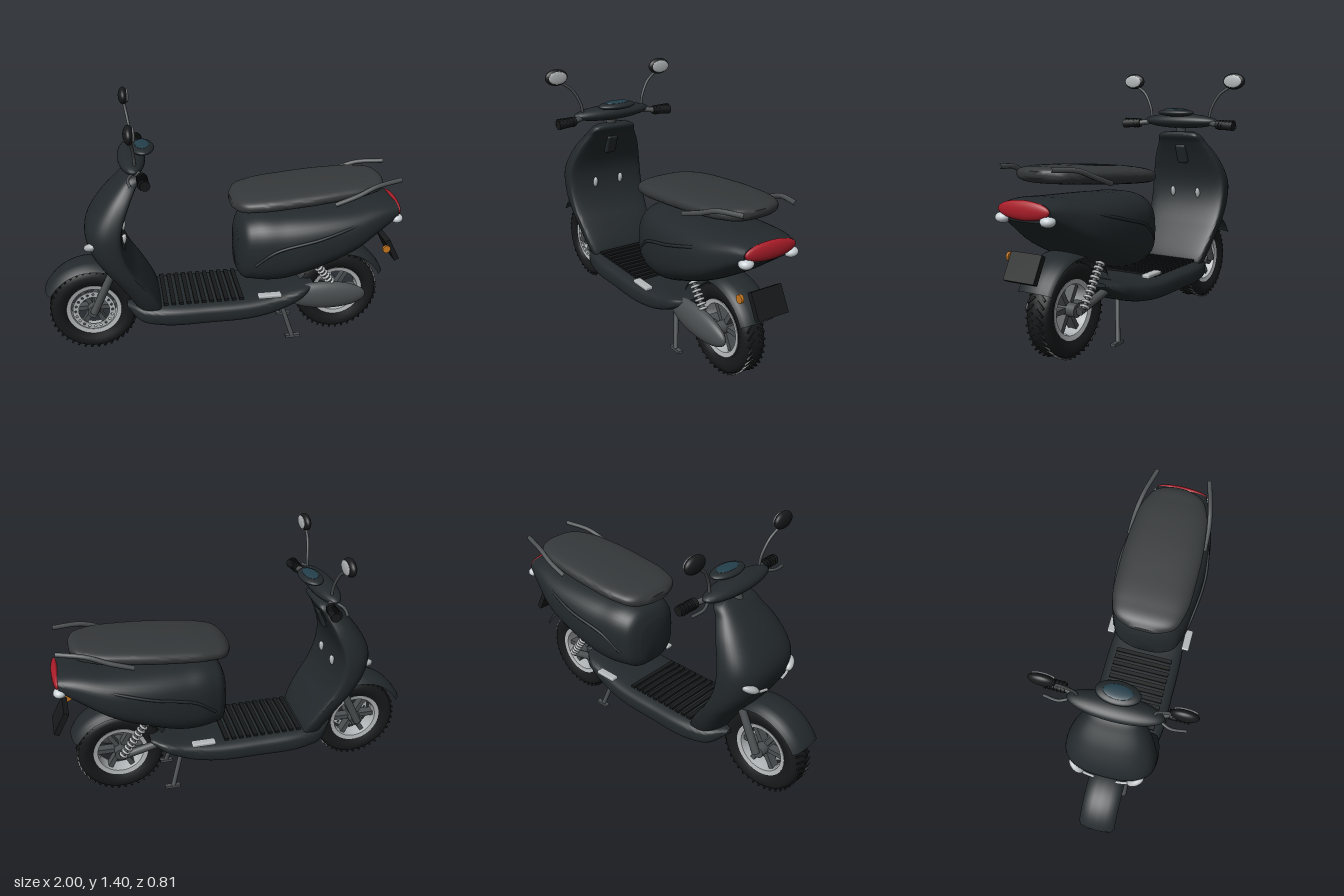
import * as THREE from 'three';
import { toCreasedNormals } from 'three/addons/utils/BufferGeometryUtils.js';
import { RoundedBoxGeometry } from 'three/addons/geometries/RoundedBoxGeometry.js';

const BODY = 0x23292c, BLACK = 0x17191a, SEAT = 0x35383a, STEEL = 0x4c5052, SILVER = 0xb4b8ba;
const SIDES = [['left', 1], ['right', -1]];
const V = (x, y, z) => new THREE.Vector3(x, y, z);
const power = (v, p) => Math.sign(v) * Math.abs(v) ** p;

export function createModel() {
  const model = new THREE.Group();
  model.name = 'scooter';
  const materials = {};
  const material = c => (materials[c] ??= new THREE.MeshStandardMaterial({ color: c }));

  function add(name, geometry, color, pos = [0, 0, 0], parent = model) {
    const mesh = new THREE.Mesh(geometry, material(color));
    mesh.name = name;
    mesh.position.set(...pos);
    parent.add(mesh);
    return mesh;
  }
  const ball = (name, r, pos, color) =>
    add(name, new THREE.SphereGeometry(1, 32, 20).scale(...r), color, pos);
  function rod(name, a, b, r, color, parent = model) {
    const d = b.clone().sub(a);
    const mesh = add(name, new THREE.CylinderGeometry(r, r, d.length(), 14), color, a.clone().lerp(b, 0.5).toArray(), parent);
    mesh.quaternion.setFromUnitVectors(V(0, 1, 0), d.normalize());
    return mesh;
  }
  const tube = (name, pts, r, color) =>
    add(name, new THREE.TubeGeometry(new THREE.CatmullRomCurve3(pts), 40, r, 10), color);

  // Closed skin through smoothly interpolated cross-sections, capped at both ends
  function loft(rows, section, steps = 48, around = 48) {
    const spline = new THREE.CubicInterpolant(rows.map(r => r[0]), rows.flat(), rows[0].length);
    const pos = [], idx = [], ends = [[], []];
    const t0 = rows[0][0], t1 = rows[rows.length - 1][0];
    for (let i = 0; i <= steps; i++) {
      const t = t0 + (t1 - t0) * (1 - Math.cos(Math.PI * i / steps)) / 2;
      const key = [...spline.evaluate(t)];
      for (let j = 0; j < around; j++) {
        pos.push(...section(key, j / around * Math.PI * 2));
        const a = i * around + j, b = i * around + (j + 1) % around;
        if (i < steps) idx.push(a, b, a + around, b, b + around, a + around);
      }
    }
    for (const [end, ring] of [[0, 0], [1, steps * around]]) {
      for (let k = 0; k < 3; k++) {
        let sum = 0;
        for (let j = 0; j < around; j++) sum += pos[(ring + j) * 3 + k];
        ends[end].push(sum / around);
      }
      const c = pos.length / 3;
      pos.push(...ends[end]);
      for (let j = 0; j < around; j++) {
        const a = ring + j, b = ring + (j + 1) % around;
        idx.push(...(end ? [c, a, b] : [c, b, a]));
      }
    }
    // Turn the skin outward if its volume comes out negative
    let volume = 0;
    const p = i => V().fromArray(pos, i * 3);
    for (let i = 0; i < idx.length; i += 3) volume += p(idx[i]).dot(p(idx[i + 1]).cross(p(idx[i + 2])));
    if (volume < 0) idx.reverse();
    const g = new THREE.BufferGeometry();
    g.setAttribute('position', new THREE.Float32BufferAttribute(pos, 3));
    g.setIndex(idx);
    return toCreasedNormals(g, 0.8);
  }
  // Rows: x, bottom, top, half width
  const alongX = p => ([x, y0, y1, w], a) =>
    [x, (y0 + y1) / 2 + (y1 - y0) / 2 * power(Math.sin(a), p), w * power(Math.cos(a), p)];

  // Front leg shield; rows: y, front x, rear x, half width
  add('legShield', loft([
    [0.25, -0.5, -0.36, 0.17], [0.32, -0.54, -0.375, 0.2], [0.46, -0.63, -0.455, 0.23],
    [0.54, -0.69, -0.51, 0.24], [0.65, -0.75, -0.555, 0.245], [0.77, -0.76, -0.565, 0.24],
    [0.91, -0.675, -0.52, 0.2], [1.0, -0.59, -0.475, 0.15], [1.05, -0.535, -0.447, 0.12], [1.062, -0.51, -0.46, 0.09],
  ], ([y, xf, xr, w], a) => {
    const s = Math.sin(a), rim = xr - 0.04;
    const x = s > 0 ? rim - (rim - xf) * power(s, 0.75) : rim + 0.04 * power(-s, 0.3);
    return [x, y, w * power(Math.cos(a), 0.8)];
  }), BODY);

  // Foot floor with ribs
  add('floorboard', loft([
    [-0.56, 0.27, 0.3, 0.1], [-0.5, 0.21, 0.31, 0.17], [-0.4, 0.186, 0.315, 0.21], [-0.1, 0.18, 0.312, 0.222],
    [0.14, 0.187, 0.315, 0.218], [0.3, 0.22, 0.33, 0.2], [0.42, 0.28, 0.35, 0.18], [0.49, 0.33, 0.355, 0.13],
  ], alongX(0.55)), BODY);
  for (let i = 0; i < 11; i++)
    add('floorRib', new THREE.BoxGeometry(0.024, 0.014, 0.34), BLACK, [-0.35 + i * 0.042, 0.316, 0]);

  // Rear body and seat
  add('rearBody', loft([
    [0.06, 0.44, 0.69, 0.11], [0.08, 0.41, 0.735, 0.16], [0.14, 0.395, 0.773, 0.2], [0.3, 0.395, 0.79, 0.235],
    [0.5, 0.46, 0.802, 0.25], [0.7, 0.55, 0.812, 0.235], [0.86, 0.66, 0.822, 0.185], [0.945, 0.72, 0.815, 0.15],
  ], alongX(0.7)), BODY);
  add('seat', loft([
    [0.03, 0.825, 0.865, 0.08], [0.06, 0.816, 0.89, 0.15], [0.15, 0.82, 0.912, 0.2], [0.35, 0.835, 0.935, 0.218],
    [0.6, 0.86, 0.955, 0.208], [0.78, 0.88, 0.962, 0.17], [0.85, 0.895, 0.958, 0.11], [0.87, 0.915, 0.945, 0.05],
  ], alongX(0.75)), SEAT);

  // Wheels, facing along z
  const half = [[0.148, 0.045], [0.18, 0.061], [0.212, 0.066], [0.232, 0.05], [0.24, 0.02]];
  const tyreProfile = [...half.map(([r, z]) => new THREE.Vector2(r, -z)),
    ...half.reverse().map(([r, z]) => new THREE.Vector2(r, z)), new THREE.Vector2(0.148, -0.045)];
  const rimProfile = [[0.128, -0.045], [0.152, -0.05], [0.152, 0.05], [0.128, 0.045], [0.122, 0], [0.128, -0.045]]
    .map(q => new THREE.Vector2(...q));
  const lathe = (profile, ...rest) => new THREE.LatheGeometry(profile, 56, ...rest).rotateX(Math.PI / 2);
  function wheel(name, x) {
    const g = new THREE.Group();
    g.name = name;
    g.position.set(x, 0.247, 0);
    model.add(g);
    add('tyre', lathe(tyreProfile), BLACK, [0, 0, 0], g);
    add('rim', toCreasedNormals(lathe(rimProfile), 0.6), SILVER, [0, 0, 0], g);
    add('hub', new THREE.CylinderGeometry(0.035, 0.035, 0.15, 24).rotateX(Math.PI / 2), STEEL, [0, 0, 0], g);
    for (let i = 0; i < 6; i++) {
      const a = i * Math.PI / 3;
      const spoke = add('spoke', new THREE.BoxGeometry(0.11, 0.026, 0.05), STEEL, [0.08 * Math.cos(a), 0.08 * Math.sin(a), 0], g);
      spoke.rotation.z = a;
    }
    for (let i = 0; i < 80; i++) {
      const a = i * Math.PI / 40, s = i % 2 ? 1 : -1;
      const block = new THREE.BoxGeometry(0.01, 0.009, 0.05).rotateY(s * 0.5);
      add('treadBlock', block, BLACK, [-0.238 * Math.sin(a), 0.238 * Math.cos(a), s * 0.03], g).rotation.set(s * 0.2, 0, a);
    }
    return g;
  }
  const front = wheel('frontWheel', -0.745);
  wheel('rearWheel', 0.65);

  // Perforated brake disc
  const disc = new THREE.Shape().absarc(0, 0, 0.118, 0, Math.PI * 2);
  disc.holes.push(new THREE.Path().absarc(0, 0, 0.085, 0, Math.PI * 2, true));
  for (let i = 0; i < 20; i++) {
    const a = i * Math.PI / 10;
    disc.holes.push(new THREE.Path().absarc(0.102 * Math.cos(a), 0.102 * Math.sin(a), 0.007, 0, Math.PI * 2, true));
  }
  add('brakeDisc', new THREE.ExtrudeGeometry(disc, { depth: 0.006, bevelEnabled: false, curveSegments: 24 }), SILVER, [0, 0, 0.052], front);

  // Curved fenders
  const fenderProfile = [[0.258, -0.1], [0.28, -0.085], [0.29, -0.045], [0.293, 0], [0.29, 0.045], [0.28, 0.085], [0.258, 0.1]]
    .map(q => new THREE.Vector2(...q));
  for (const [name, x, from, to] of [['frontFender', -0.745, 35, 152], ['rearFender', 0.65, 27, 152]]) {
    const start = THREE.MathUtils.degToRad(from + 90), arc = THREE.MathUtils.degToRad(to - from);
    const m = add(name, lathe(fenderProfile, start, arc), BODY, [x, 0.25, 0]);
    m.material = new THREE.MeshStandardMaterial({ color: BODY, side: THREE.DoubleSide });
  }

  // Steering column, handlebar cover and dashboard
  rod('steeringColumn', V(-0.55, 0.9, 0), V(-0.485, 1.12, 0), 0.028, STEEL);
  ball('handlebarCover', [0.072, 0.043, 0.245], [-0.495, 1.125, 0], BODY);
  ball('dashboard', [0.062, 0.023, 0.115], [-0.435, 1.175, 0], BODY);
  ball('display', [0.038, 0.008, 0.075], [-0.435, 1.193, 0], 0x24404c);

  // Parts in left and right pairs
  for (const [side, s] of SIDES) {
    const P = (x, y, z) => V(x, y, z * s);
    rod(side + 'ForkLeg', P(-0.6, 0.56, 0.085), P(-0.745, 0.247, 0.085), 0.022, STEEL);
    rod(side + 'GripStem', P(-0.49, 1.12, 0.18), P(-0.455, 1.108, 0.27), 0.016, STEEL);
    rod(side + 'Grip', P(-0.457, 1.11, 0.26), P(-0.445, 1.103, 0.37), 0.026, BLACK);
    for (let i = 0; i < 5; i++)
      rod(side + 'GripRing', P(-0.455, 1.109, 0.275 + i * 0.02), P(-0.454, 1.108, 0.283 + i * 0.02), 0.029, BLACK);
    tube(side + 'BrakeLever', [P(-0.5, 1.115, 0.22), P(-0.525, 1.105, 0.28), P(-0.515, 1.095, 0.36)], 0.008, STEEL);
    tube(side + 'MirrorStem', [P(-0.485, 1.15, 0.195), P(-0.488, 1.2, 0.205), P(-0.5, 1.28, 0.25), P(-0.51, 1.325, 0.31)], 0.008, STEEL);
    ball(side + 'MirrorShell', [0.027, 0.046, 0.068], [-0.512, 1.357, 0.337 * s], BLACK);
    ball(side + 'MirrorGlass', [0.008, 0.036, 0.056], [-0.489, 1.357, 0.337 * s], SILVER);
    ball(side + 'FrontSignal', [0.03, 0.022, 0.05], [-0.735, 0.69, 0.16 * s], SILVER).rotation.set(-0.5 * s, 0.5 * s, 0);
    tube(side + 'FrontTrim', [P(-0.763, 0.65, 0.06), P(-0.755, 0.665, 0.12), P(-0.72, 0.7, 0.18), P(-0.67, 0.75, 0.215)], 0.008, SILVER);
    ball(side + 'BagHook', [0.015, 0.032, 0.014], [-0.558, 0.69, 0.085 * s], SILVER).rotation.z = -0.2;
    add(side + 'FootPeg', new RoundedBoxGeometry(0.13, 0.022, 0.045, 3, 0.008), SILVER, [0.215, 0.36, 0.23 * s]);
    tube(side + 'BodyTrim', [P(0.14, 0.53, 0.197), P(0.25, 0.62, 0.23), P(0.49, 0.69, 0.253), P(0.7, 0.745, 0.215), P(0.86, 0.785, 0.155)], 0.008, BODY);
    tube(side + 'GrabRail', [P(0.56, 0.87, 0.215), P(0.68, 0.91, 0.21), P(0.79, 0.95, 0.19), P(0.94, 0.965, 0.15)], 0.013, STEEL);
    ball(side + 'RearSignal', [0.035, 0.026, 0.038], [0.94, 0.732, 0.132 * s], 0xc8d0d4);
    rod(side + 'StandLeg', P(0.31, 0.23, 0.08), P(0.375, 0.02, 0.125), 0.013, STEEL);
    add(side + 'StandFoot', new THREE.BoxGeometry(0.085, 0.016, 0.025), STEEL, [0.38, 0.016, 0.125 * s]);

    // Shock absorber with stacked coils
    const top = P(0.5, 0.47, 0.11), low = s > 0 ? P(0.6, 0.34, 0.11) : P(0.65, 0.26, 0.11);
    rod(side + 'ShockRod', top, low, 0.012, STEEL);
    const coils = s > 0 ? 7 : 10;
    for (let i = 0; i < coils; i++) {
      const coil = add(side + 'ShockCoil', new THREE.TorusGeometry(0.019, 0.007, 8, 18), SILVER, top.clone().lerp(low, (i + 0.5) / coils).toArray());
      coil.quaternion.setFromUnitVectors(V(0, 0, 1), low.clone().sub(top).normalize());
    }
  }

  // Storage latch on the inner shield
  add('latch', new RoundedBoxGeometry(0.04, 0.12, 0.07, 3, 0.015), BODY, [-0.515, 0.93, 0]).rotation.z = -0.35;
  // Drive casing and swing arm
  ball('driveCasing', [0.235, 0.083, 0.045], [0.565, 0.272, 0.125], STEEL).rotation.z = -0.06;
  rod('swingArm', V(0.4, 0.31, -0.09), V(0.66, 0.247, -0.09), 0.022, STEEL);
  rod('pivot', V(0.4, 0.3, -0.1), V(0.4, 0.3, 0.12), 0.03, STEEL);
  // Tail lamp, plate and reflector
  ball('tailLamp', [0.024, 0.047, 0.15], [0.95, 0.775, 0], 0xa81c28);
  add('plate', new THREE.BoxGeometry(0.03, 0.14, 0.18), BLACK, [0.953, 0.508, 0]).rotation.z = 0.48;
  add('reflector', new THREE.CylinderGeometry(0.022, 0.022, 0.014, 24).rotateX(Math.PI / 2), 0xc87820, [0.902, 0.54, 0.128]);
  return model;
}
